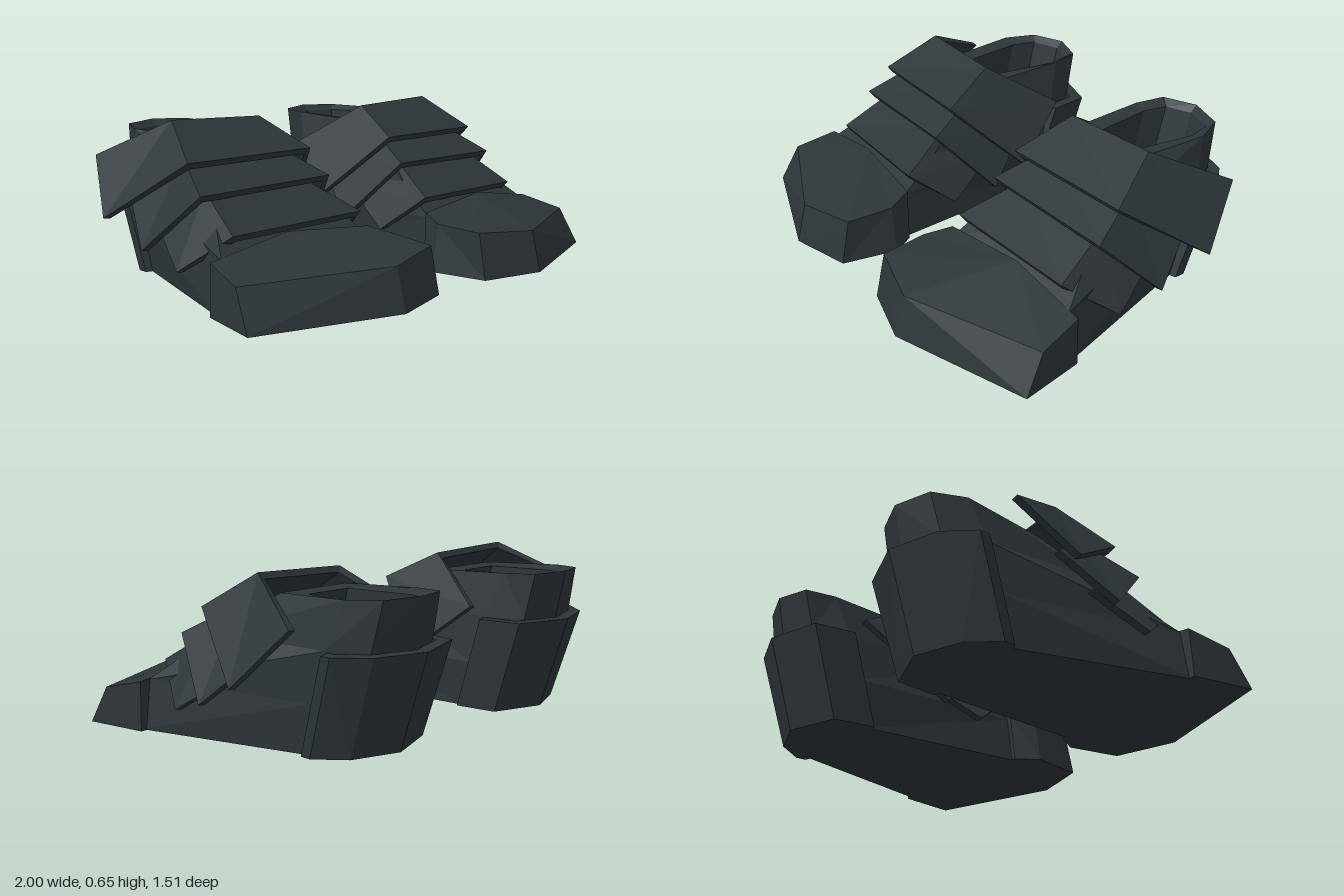
import * as THREE from 'three';

const material = new THREE.MeshStandardMaterial({ color: 0x2d3539, flatShading: true, roughness: 0.8 });

// Closed solid through matching loops of [x, y, z] corners, with a fan cap on both ends.
function loft(name, loops, side) {
  const tris = [];
  const n = loops[0].length;
  for (let k = 0; k + 1 < loops.length; k++) {
    for (let i = 0; i < n; i++) {
      const j = (i + 1) % n;
      const a = loops[k][i], b = loops[k][j], c = loops[k + 1][j], d = loops[k + 1][i];
      tris.push([a, b, c], [a, c, d]);
    }
  }
  const first = loops[0], last = loops[loops.length - 1];
  for (let i = 1; i + 1 < n; i++) {
    tris.push([first[0], first[i + 1], first[i]], [last[0], last[i], last[i + 1]]);
  }
  // Mirror in x, then turn every face outward using the signed volume.
  const faces = tris.map((t) => t.map(([x, y, z]) => new THREE.Vector3(x * side, y, z)));
  let volume = 0;
  for (const [a, b, c] of faces) volume += a.dot(b.clone().cross(c));
  if (volume < 0) faces.forEach((f) => f.reverse());
  const geometry = new THREE.BufferGeometry().setFromPoints(faces.flat());
  geometry.computeVertexNormals();
  const mesh = new THREE.Mesh(geometry, material);
  mesh.name = name;
  return mesh;
}

const atHeight = (y, outline) => outline.map(([x, z]) => [x, y, z]);

// Boot body: sole, instep slope, shaft rim, then the lining down to the insole.
function bootBody(side) {
  const opening = [[0.37, -0.28], [0.58, -0.28], [0.62, -0.56], [0.59, -0.67], [0.46, -0.71], [0.35, -0.67], [0.33, -0.56]];
  return loft('bootBody', [
    atHeight(0, [[0.18, 0.35], [0.93, 0.32], [0.72, -0.4], [0.63, -0.54], [0.45, -0.6], [0.28, -0.53], [0.24, -0.4]]),
    atHeight(0.2, [[0.2, 0.33], [0.9, 0.3], [0.73, -0.44], [0.64, -0.6], [0.46, -0.66], [0.29, -0.6], [0.22, -0.44]]),
    atHeight(0.4, [[0.26, 0.05], [0.75, 0.05], [0.72, -0.5], [0.64, -0.65], [0.46, -0.7], [0.3, -0.65], [0.24, -0.5]]),
    [[0.29, 0.57, -0.2], [0.65, 0.57, -0.2], [0.68, 0.585, -0.56], [0.62, 0.59, -0.69],
      [0.46, 0.595, -0.74], [0.31, 0.59, -0.69], [0.28, 0.585, -0.56]],
    atHeight(0.565, opening),
    atHeight(0.2, opening.map(([x, z]) => [x, z + 0.09])),
  ], side);
}

// Toe cap: broad angular wedge, the first corner is the rear ridge point.
function toeCap(side) {
  return loft('toeCap', [
    atHeight(0, [[0.58, 0.31], [0.95, 0.29], [1, 0.56], [0.42, 0.755], [0.145, 0.68], [0.1, 0.44], [0.16, 0.34]]),
    [[0.58, 0.26, 0.3], [0.945, 0.2, 0.29], [0.98, 0.155, 0.475], [0.42, 0.17, 0.71],
      [0.15, 0.19, 0.64], [0.13, 0.2, 0.44], [0.18, 0.225, 0.33]],
  ], side);
}

// Heel guard: thick faceted band wrapped around the back.
function heelGuard(side) {
  const top = [[0.195, -0.5], [0.22, -0.68], [0.46, -0.76], [0.67, -0.69], [0.77, -0.575], [0.77, -0.53]];
  const shrink = ([x, z]) => [0.46 + (x - 0.46) * 0.82, -0.4 + (z + 0.4) * 0.85];
  return loft('heelGuard', top.map((p) => {
    const [ix, iz] = shrink(p);
    const lower = (x) => 0.46 + (x - 0.46) * 0.93;
    return [[lower(p[0]), 0, p[1] + 0.125], [p[0], 0.395, p[1]], [ix, 0.395, iz], [lower(ix), 0, iz + 0.125]];
  }), side);
}

// Instep plates: front and back edge, each from the outer flap over the top to the inner flap.
const PLATES = [
  { front: [[1, 0.28, -0.31], [0.84, 0.515, 0.03], [0.24, 0.52, 0.06], [0.07, 0.24, -0.22]],
    back: [[0.9, 0.5, -0.51], [0.75, 0.655, -0.19], [0.31, 0.64, -0.18], [0.16, 0.45, -0.475]] },
  { front: [[0.97, 0.18, -0.1], [0.86, 0.405, 0.13], [0.22, 0.415, 0.15], [0.09, 0.155, -0.08]],
    back: [[0.88, 0.36, -0.3], [0.77, 0.53, -0.1], [0.31, 0.53, -0.1], [0.18, 0.34, -0.28]] },
  { front: [[0.94, 0.125, 0.08], [0.83, 0.275, 0.28], [0.2, 0.285, 0.31], [0.12, 0.13, 0.12]],
    back: [[0.87, 0.26, -0.13], [0.78, 0.41, 0.05], [0.3, 0.41, 0.05], [0.19, 0.25, -0.1]] },
];
const INWARD = [[-0.03, -0.005, 0], [-0.02, -0.025, -0.015], [0.02, -0.025, -0.015], [0.03, -0.005, 0]];

function instepPlate({ front, back }, side) {
  const inset = (p, i) => p.map((v, k) => v + INWARD[i][k]);
  return loft('instepPlate', front.map((f, i) => [f, back[i], inset(back[i], i), inset(f, i)]), side);
}

export function createModel() {
  const model = new THREE.Group();
  model.name = 'armoredBoots';
  for (const side of [1, -1]) {
    const boot = new THREE.Group();
    boot.name = side > 0 ? 'leftBoot' : 'rightBoot';
    boot.add(bootBody(side), toeCap(side), heelGuard(side));
    for (const plate of PLATES) boot.add(instepPlate(plate, side));
    model.add(boot);
  }
  return model;
}
